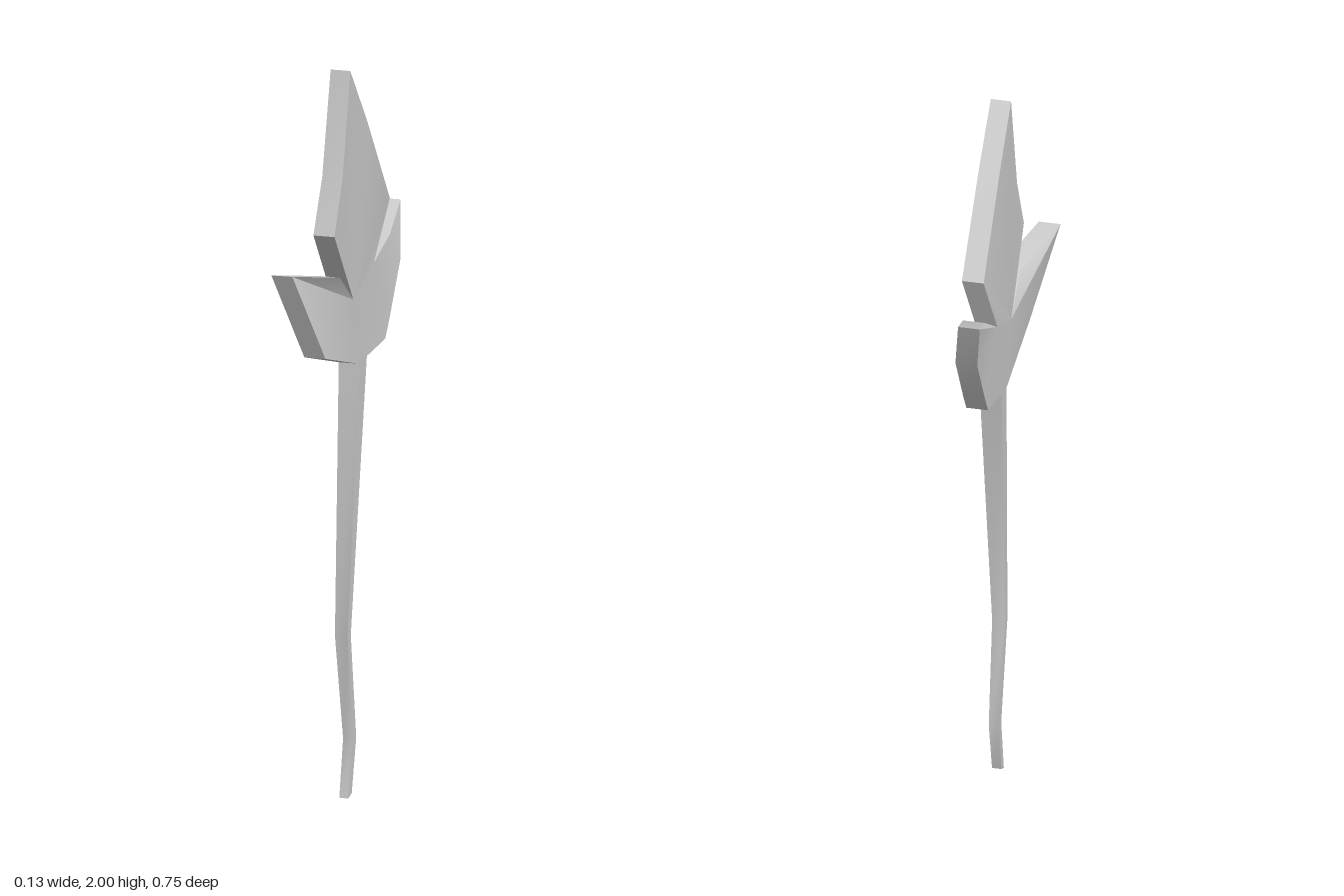
import * as THREE from 'three';
import { toCreasedNormals } from 'three/addons/utils/BufferGeometryUtils.js';

// Outline points, counter-clockwise as seen from +x: [z, y, centre x, half thickness]
const OUTLINE = [
  // stem, rear edge going up
  [0.05, 0, 0.023, 0.013], [0.024, 0.01, 0.023, 0.013], [-0.008, 0.156, 0.023, 0.014],
  [0.045, 0.447, 0.023, 0.018], [-0.055, 1.19, 0.02, 0.03],
  // rear leaf
  [-0.19, 1.21, 0.023, 0.03], [-0.22, 1.26, 0.024, 0.03], [-0.305, 1.405, 0.024, 0.03],
  [-0.372, 1.552, 0, 0.03], [-0.22, 1.49, 0.025, 0.03], [-0.125, 1.43, 0.014, 0.03],
  // tall middle leaf
  [-0.195, 1.595, 0.034, 0.03], [-0.03, 1.84, 0.031, 0.029], [0.09, 2, 0.028, 0.028],
  [0.155, 1.72, 0.029, 0.029], [0.21, 1.57, 0.025, 0.03], [0.045, 1.365, 0.018, 0.03],
  // front leaf
  [0.165, 1.45, 0.024, 0.03], [0.373, 1.49, -0.035, 0.03], [0.275, 1.25, 0.023, 0.03],
  // stem, front edge going down
  [0, 1.18, 0.02, 0.03], [0.07, 0.447, 0.023, 0.018], [0.018, 0.156, 0.023, 0.014],
];

// Each panel is a fan of outline indices; edges lying on the outline also get a side wall.
function slab(name, panels) {
  const pos = [];
  const put = (i, side) => {
    const [z, y, x, h] = OUTLINE[i];
    pos.push(x + side * h, y, z);
  };
  for (const p of panels) {
    for (let k = 1; k < p.length - 1; k++) {
      [p[0], p[k], p[k + 1]].forEach((i) => put(i, 1));
      [p[0], p[k + 1], p[k]].forEach((i) => put(i, -1));
    }
    p.forEach((a, k) => {
      const b = p[(k + 1) % p.length];
      if (b !== (a + 1) % OUTLINE.length) return;
      put(a, 1); put(a, -1); put(b, -1);
      put(a, 1); put(b, -1); put(b, 1);
    });
  }
  const geo = new THREE.BufferGeometry();
  geo.setAttribute('position', new THREE.Float32BufferAttribute(pos, 3));
  const mesh = new THREE.Mesh(
    toCreasedNormals(geo, 0.6),
    new THREE.MeshStandardMaterial({ color: 0xcccccc }),
  );
  mesh.name = name;
  return mesh;
}

export function createModel() {
  const group = new THREE.Group();
  group.name = 'leafOnStem';
  group.add(
    slab('stem', [[22, 0, 1, 2], [21, 22, 2, 3], [20, 21, 3, 4]]),
    slab('threeLobedLeaf', [
      [16, 20, 4, 10],               // heart of the leaf
      [10, 4, 5, 6, 7, 8, 9],        // rear lobe
      [16, 10, 11, 12, 13, 14, 15],  // middle lobe
      [16, 17, 18, 19, 20],          // front lobe
    ]),
  );
  return group;
}
